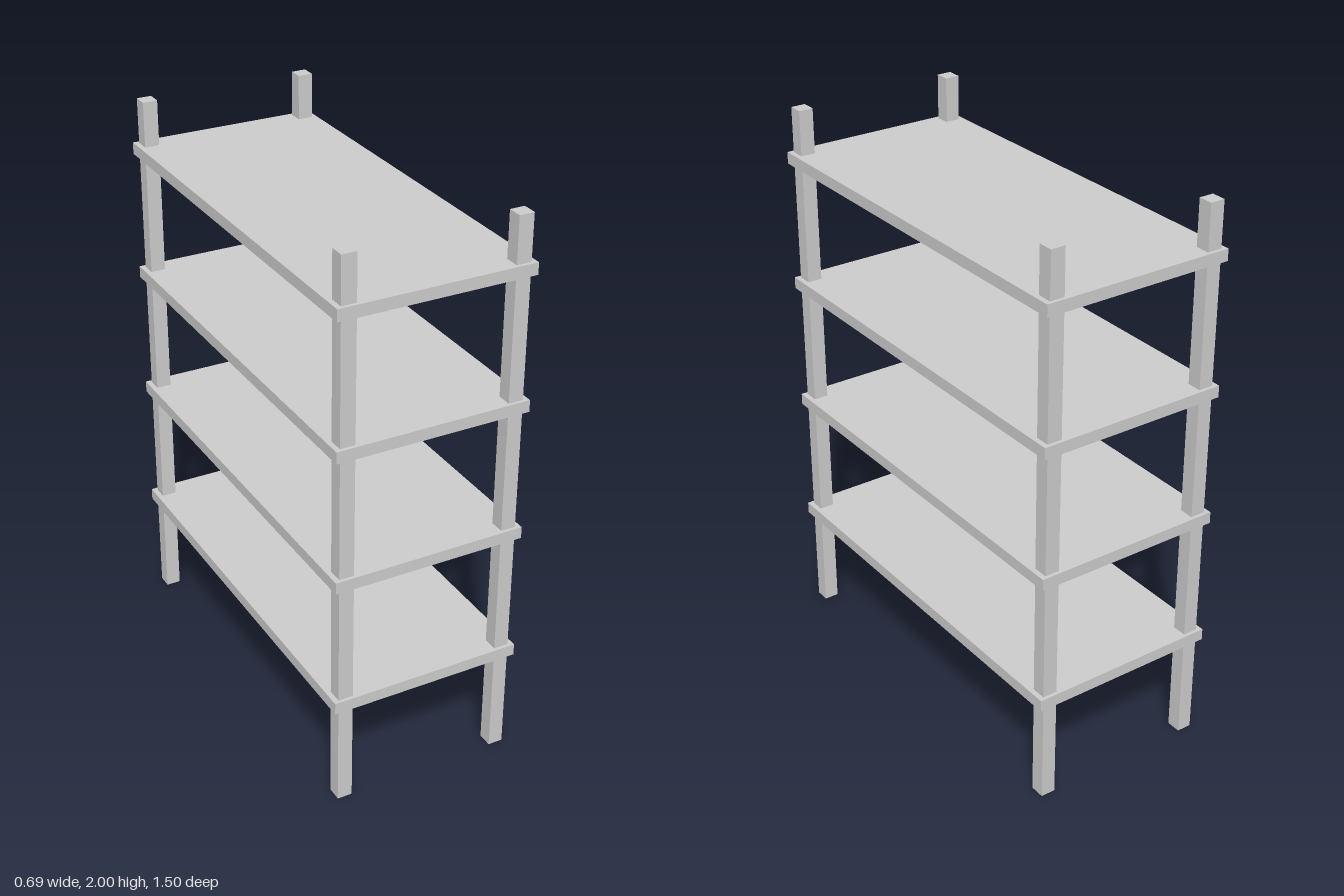
import * as THREE from 'three';

export function createModel() {
  const model = new THREE.Group();
  model.name = 'shelvingRack';
  const material = new THREE.MeshStandardMaterial({ color: 0xcccccc });

  const addBox = (name, size, position) => {
    const mesh = new THREE.Mesh(new THREE.BoxGeometry(...size), material);
    mesh.name = name;
    mesh.position.set(...position);
    model.add(mesh);
  };

  // Four square corner posts, running the full height
  for (const x of [-1, 1]) {
    for (const z of [-1, 1]) {
      const name = (z > 0 ? 'front' : 'back') + (x > 0 ? 'Left' : 'Right') + 'Post';
      addBox(name, [0.053, 2, 0.053], [x * 0.3, 1, z * 0.711]);
    }
  }

  // Four evenly spaced shelves, overhanging the posts slightly
  for (let i = 0; i < 4; i++) {
    addBox(`shelf${i + 1}`, [0.69, 0.042, 1.5], [0, 0.395 + i * 0.474, 0]);
  }

  return model;
}
